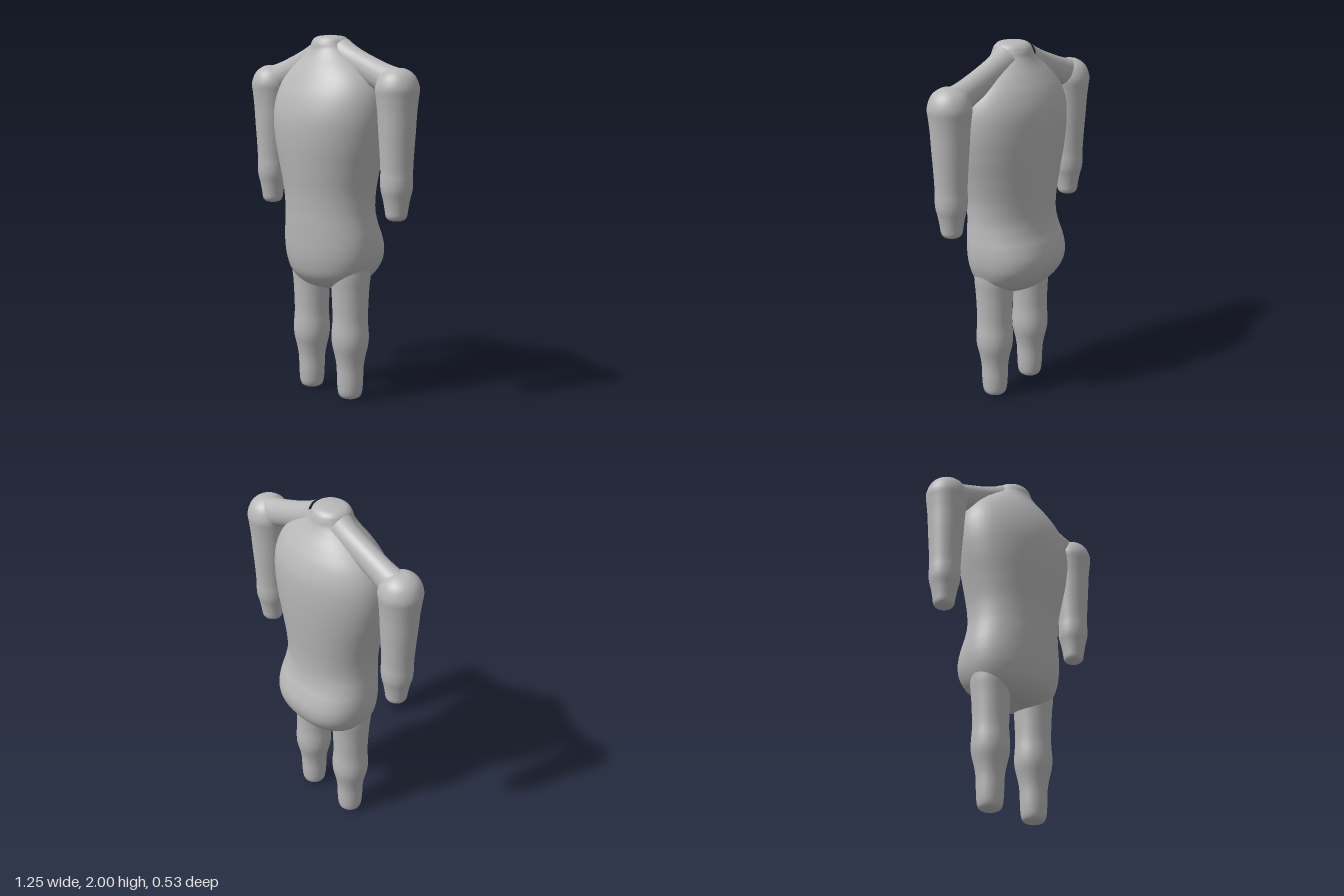
import * as THREE from 'three';

const skin = new THREE.MeshStandardMaterial({ color: 0xb8b8b8 });
skin.name = 'plain grey';

function part(name, geometry, parent) {
  const mesh = new THREE.Mesh(geometry, skin);
  mesh.name = name;
  parent.add(mesh);
  return mesh;
}

// Smooth closed loft; each section is [y, half width, front depth, back depth, back squareness]
function loft(sections, rings, sides) {
  const curve = (pick) =>
    new THREE.CatmullRomCurve3(sections.map((s) => new THREE.Vector3(...pick(s))), false, 'catmullrom', 0.5);
  const sizes = curve(([y, w, , , n]) => [y, w, n]);
  const depths = curve(([, , f, b]) => [f, b, 0]);
  const pos = [], index = [];
  const pow = (v, e) => Math.sign(v) * Math.abs(v) ** e;
  for (let i = 0; i <= rings; i++) {
    const s = sizes.getPoint(i / rings), d = depths.getPoint(i / rings);
    for (let j = 0; j < sides; j++) {
      const a = (j / sides) * Math.PI * 2;
      const c = Math.cos(a), z = Math.sin(a);
      const e = z < 0 ? 2 / s.z : 1;
      pos.push(s.y * pow(c, e), s.x, pow(z, e) * (z < 0 ? d.y : d.x));
      if (i < rings) {
        const k = (j + 1) % sides, r = i * sides, u = r + sides;
        index.push(r + j, u + j, r + k, r + k, u + j, u + k);
      }
    }
  }
  const g = new THREE.BufferGeometry();
  g.setAttribute('position', new THREE.Float32BufferAttribute(pos, 3));
  g.setIndex(index);
  g.computeVertexNormals();
  return g;
}

// Round limb from a [radius, y] profile, bottom to top
function limb(profile) {
  const curve = new THREE.SplineCurve(profile.map((p) => new THREE.Vector2(...p)));
  const points = curve.getPoints(64);
  points.forEach((p) => { p.x = Math.max(p.x, 0); });
  return new THREE.LatheGeometry(points, 32);
}

export function createModel() {
  const group = new THREE.Group();
  group.name = 'headlessBody';

  // Torso, seat and neck stump in one skin
  part('torso', loft([
    [0.615, 0, 0, 0, 2],
    [0.62, 0.09, 0.07, 0.08, 2],
    [0.645, 0.185, 0.13, 0.15, 2.1],
    [0.7, 0.25, 0.178, 0.215, 2.3],
    [0.77, 0.283, 0.2, 0.255, 2.5],
    [0.84, 0.295, 0.21, 0.264, 2.5],
    [0.91, 0.294, 0.215, 0.248, 2.4],
    [0.98, 0.286, 0.219, 0.225, 2.2],
    [1.06, 0.28, 0.222, 0.215, 2],
    [1.16, 0.286, 0.23, 0.217, 2],
    [1.28, 0.312, 0.246, 0.228, 2],
    [1.42, 0.347, 0.262, 0.24, 2],
    [1.55, 0.366, 0.263, 0.245, 2],
    [1.66, 0.36, 0.24, 0.238, 2],
    [1.75, 0.325, 0.203, 0.21, 2],
    [1.82, 0.262, 0.164, 0.172, 2],
    [1.88, 0.185, 0.125, 0.134, 2],
    [1.92, 0.132, 0.106, 0.115, 2],
    [1.95, 0.112, 0.1, 0.108, 2],
    [1.975, 0.1, 0.088, 0.095, 2],
    [1.993, 0.07, 0.062, 0.066, 2],
    [2, 0, 0, 0, 2],
  ], 126, 64), group);

  const armProfile = [
    [0, 1.037], [0.036, 1.042], [0.055, 1.06], [0.062, 1.1], [0.071, 1.15],
    [0.083, 1.2], [0.086, 1.25], [0.085, 1.3], [0.09, 1.4], [0.097, 1.5],
    [0.103, 1.6], [0.11, 1.67], [0.115, 1.73], [0.092, 1.79], [0.045, 1.825], [0, 1.83],
  ];
  const legProfile = [
    [0, 0.002], [0.042, 0.008], [0.064, 0.03], [0.072, 0.09], [0.075, 0.18],
    [0.084, 0.24], [0.1, 0.31], [0.103, 0.37], [0.098, 0.45], [0.1, 0.54],
    [0.105, 0.63], [0.112, 0.72], [0.1, 0.8], [0, 0.84],
  ];

  for (const [side, x] of [['left', 1], ['right', -1]]) {
    part(side + 'Arm', limb(armProfile), group).position.set(0.507 * x, 0, -0.005);
    part(side + 'Leg', limb(legProfile), group).position.set(0.16 * x, 0, -0.003);

    // Sloping shoulder bridge, slightly flared at the arm and the torso
    const bridge = new THREE.CylinderGeometry(1, 1, 0.46, 32, 12, true);
    const p = bridge.attributes.position;
    for (let i = 0; i < p.count; i++) {
      const flare = 1 + 0.25 * Math.abs(p.getY(i) / 0.23) ** 3;
      p.setX(i, p.getX(i) * 0.074 * flare);
      p.setZ(i, p.getZ(i) * 0.062 * flare);
    }
    bridge.computeVertexNormals();
    const shoulder = part(side + 'Shoulder', bridge, group);
    shoulder.position.set(0.295 * x, 1.814, -0.015);
    shoulder.rotation.z = 1.23 * x;
  }
  return group;
}
